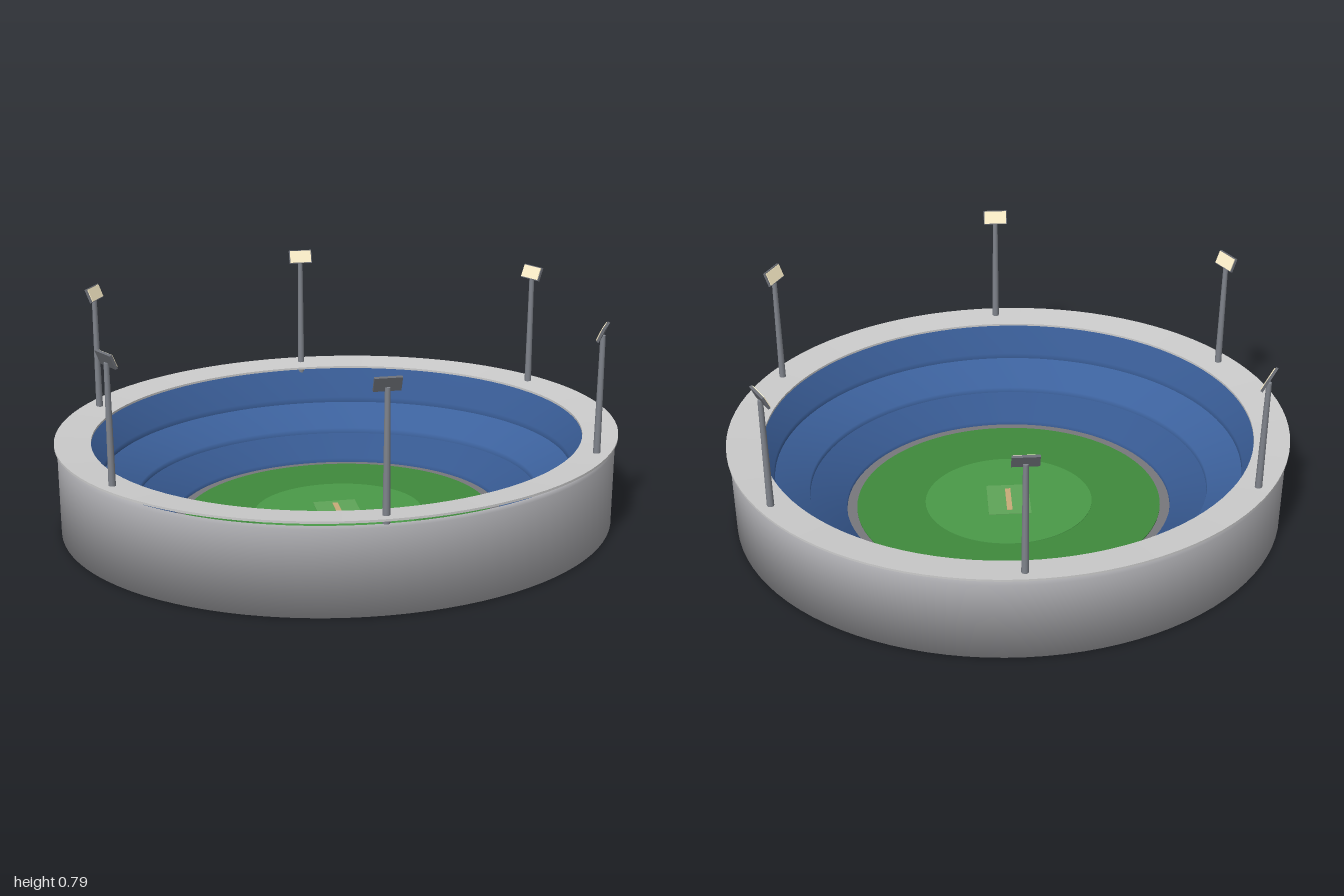
import * as THREE from 'three';
import { mergeGeometries } from 'three/addons/utils/BufferGeometryUtils.js';

const OVAL = 0.853; // depth of the oval relative to its width
const SEGMENTS = 96;

function mesh(name, geometry, color) {
  const m = new THREE.Mesh(geometry, new THREE.MeshStandardMaterial({ color }));
  m.name = name;
  return m;
}

// Profile of [radius, height] points swept around the oval, smooth along the profile
function ovalLathe(points) {
  const g = new THREE.LatheGeometry(points.map(([r, y]) => new THREE.Vector2(r, y)), SEGMENTS);
  return g.scale(1, 1, OVAL);
}

// Same sweep, with a hard edge at every profile point
function ovalLatheHard(points) {
  return mergeGeometries(points.slice(1).map((p, i) => ovalLathe([points[i], p])));
}

// Low oval slab between two heights
function ovalSlab(radius, bottom, top) {
  const g = new THREE.CylinderGeometry(radius, radius, top - bottom, SEGMENTS);
  return g.translate(0, (top + bottom) / 2, 0).scale(1, 1, OVAL);
}

function box(w, h, d, x, y, z) {
  return new THREE.BoxGeometry(w, h, d).translate(x, y, z);
}

// Mast with a lamp panel, built facing inward along -x and turned into place
function floodlight(angle) {
  const group = new THREE.Group();
  group.name = 'floodlight';

  const mast = mesh('mast', new THREE.CylinderGeometry(0.009, 0.013, 0.47, 10), 0x80848c);
  mast.position.y = 0.515;

  const head = new THREE.Group();
  head.name = 'lampHead';
  head.add(mesh('lampHousing', box(0.009, 0.052, 0.088, 0, 0, 0), 0x6b6e75));
  head.add(mesh('lampFace', box(0.003, 0.046, 0.082, -0.006, 0, 0), 0xfff2cc));
  head.position.set(0, 0.761, 0);
  head.rotation.z = -0.4;

  group.add(mast, head);
  group.position.set(0.95 * Math.cos(angle), 0, 0.95 * OVAL * Math.sin(angle));
  group.rotation.y = -angle;
  return group;
}

export function createModel() {
  const model = new THREE.Group();
  model.name = 'stadium';

  // Ground slab, boundary track and playing field
  const field = new THREE.Group();
  field.name = 'field';
  field.add(
    mesh('base', ovalSlab(0.592, 0, 0.006), 0x4a4c50),
    mesh('boundaryTrack', ovalSlab(0.592, 0.006, 0.01), 0x77777c),
    mesh('grass', ovalSlab(0.555, 0.008, 0.014), 0x3f8a3c),
    mesh('innerField', ovalSlab(0.305, 0.012, 0.016), 0x4a9a48),
    mesh('pitchSquare', box(0.155, 0.004, 0.177, 0, 0.016, 0), 0x5fa458),
    mesh('pitchStrip', box(0.02, 0.004, 0.13, 0, 0.018, 0), 0xc8ab78)
  );
  model.add(field);

  // Outer shell: underside, wall and top rim
  model.add(mesh('outerWall',
    ovalLathe([[0.585, 0.003], [0.99, 0.003], [0.99, 0.305], [0.955, 0.305]]), 0xb4b4b8));

  // Three seating tiers, each a rake above a short riser
  const tiers = [
    ['lowerTier', [[0.72, 0.09], [0.592, 0.025], [0.59, 0.004]], 0x36588f],
    ['middleTier', [[0.84, 0.185], [0.722, 0.11], [0.72, 0.09]], 0x3c619c],
    ['upperTier', [[0.955, 0.305], [0.842, 0.205], [0.84, 0.185]], 0x36588f]
  ];
  for (const [name, profile, color] of tiers) model.add(mesh(name, ovalLathe(profile), color));

  // Thin roof ring, sloping gently inward
  model.add(mesh('roof', ovalLatheHard([
    [0.873, 0.318], [1, 0.328], [1, 0.336], [0.873, 0.326], [0.873, 0.318]
  ]), 0xdcdee0));

  // Six floodlights evenly spaced around the roof
  for (let i = 0; i < 6; i++) model.add(floodlight(Math.PI / 6 + i * Math.PI / 3));

  return model;
}
